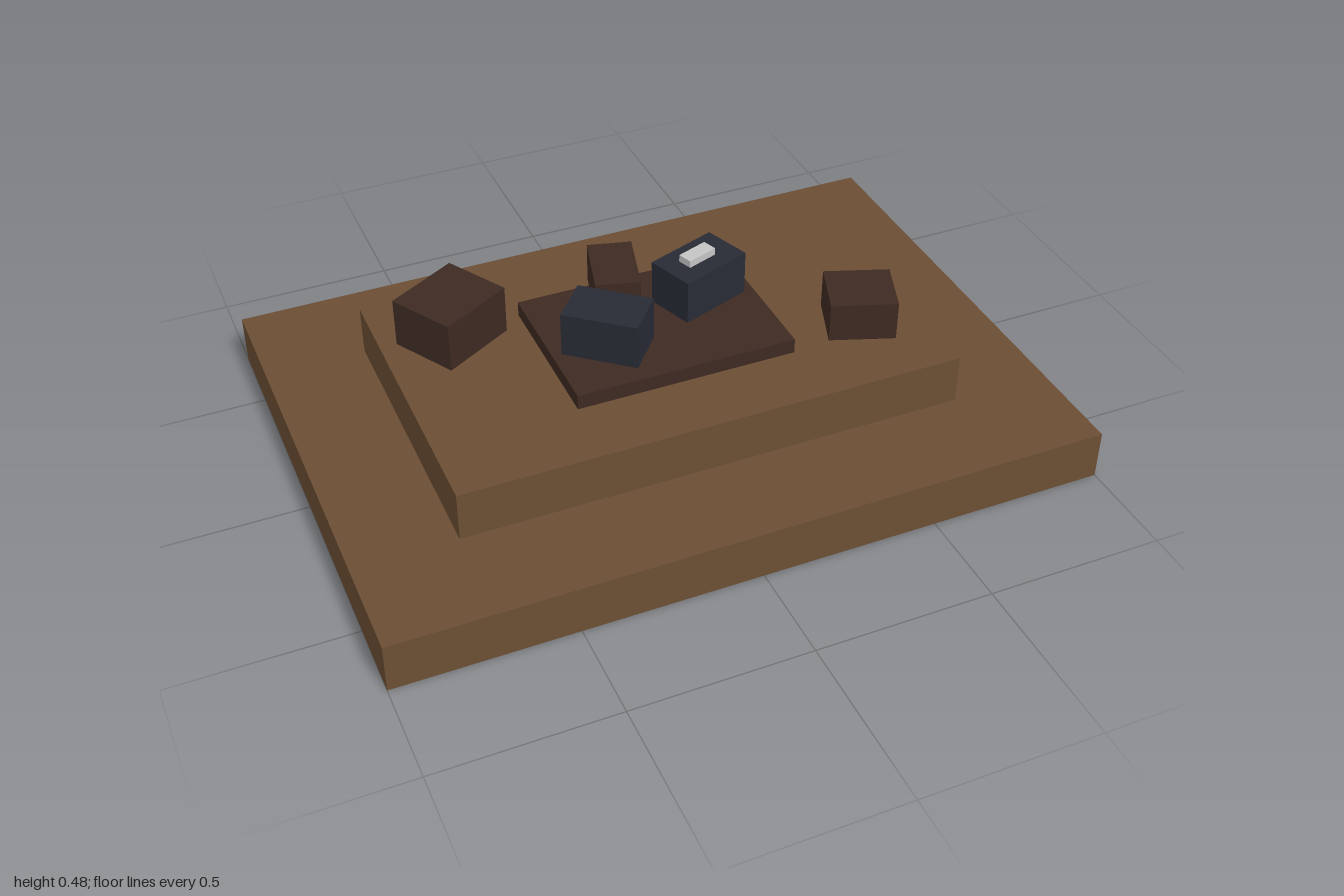
import * as THREE from 'three';

const mat = (name, color) => {
  const m = new THREE.MeshStandardMaterial({ color });
  m.name = name;
  return m;
};

export function createModel() {
  const group = new THREE.Group();
  const earth = mat('earth brown', 0x6b4e34);
  const wood = mat('dark wood', 0x3e2a22);
  const slate = mat('dark slate', 0x282b35);
  const silver = mat('silver', 0xc4c4c4);

  // Box standing on height y, turned about the vertical by a number of degrees
  const block = (name, material, [w, h, d], [x, y, z], turn = 0) => {
    const mesh = new THREE.Mesh(new THREE.BoxGeometry(w, h, d), material);
    mesh.name = name;
    mesh.position.set(x, y + h / 2, z);
    mesh.rotation.y = THREE.MathUtils.degToRad(turn);
    group.add(mesh);
  };

  // Stepped ground and central platform
  block('lowerStep', earth, [2, 0.143, 1.428], [0, 0, 0]);
  block('upperStep', earth, [1.428, 0.143, 0.857], [0, 0.143, 0]);
  block('platform', wood, [0.629, 0.043, 0.457], [0, 0.286, 0]);

  // Crates on the platform
  block('leaningCrate', wood, [0.125, 0.115, 0.2], [-0.06, 0.329, -0.146], -15);
  block('slateCrate', slate, [0.214, 0.129, 0.143], [-0.16, 0.329, 0.056], -40);
  block('slateChest', slate, [0.22, 0.129, 0.143], [0.158, 0.329, -0.06], 20);
  block('silverBar', silver, [0.095, 0.021, 0.043], [0.153, 0.458, -0.06], 20);

  // Loose crates on the upper step
  block('largeCrate', wood, [0.228, 0.143, 0.2], [-0.517, 0.286, -0.203], 30);
  block('smallCrate', wood, [0.185, 0.114, 0.168], [0.541, 0.286, 0.17], -20);

  return group;
}
